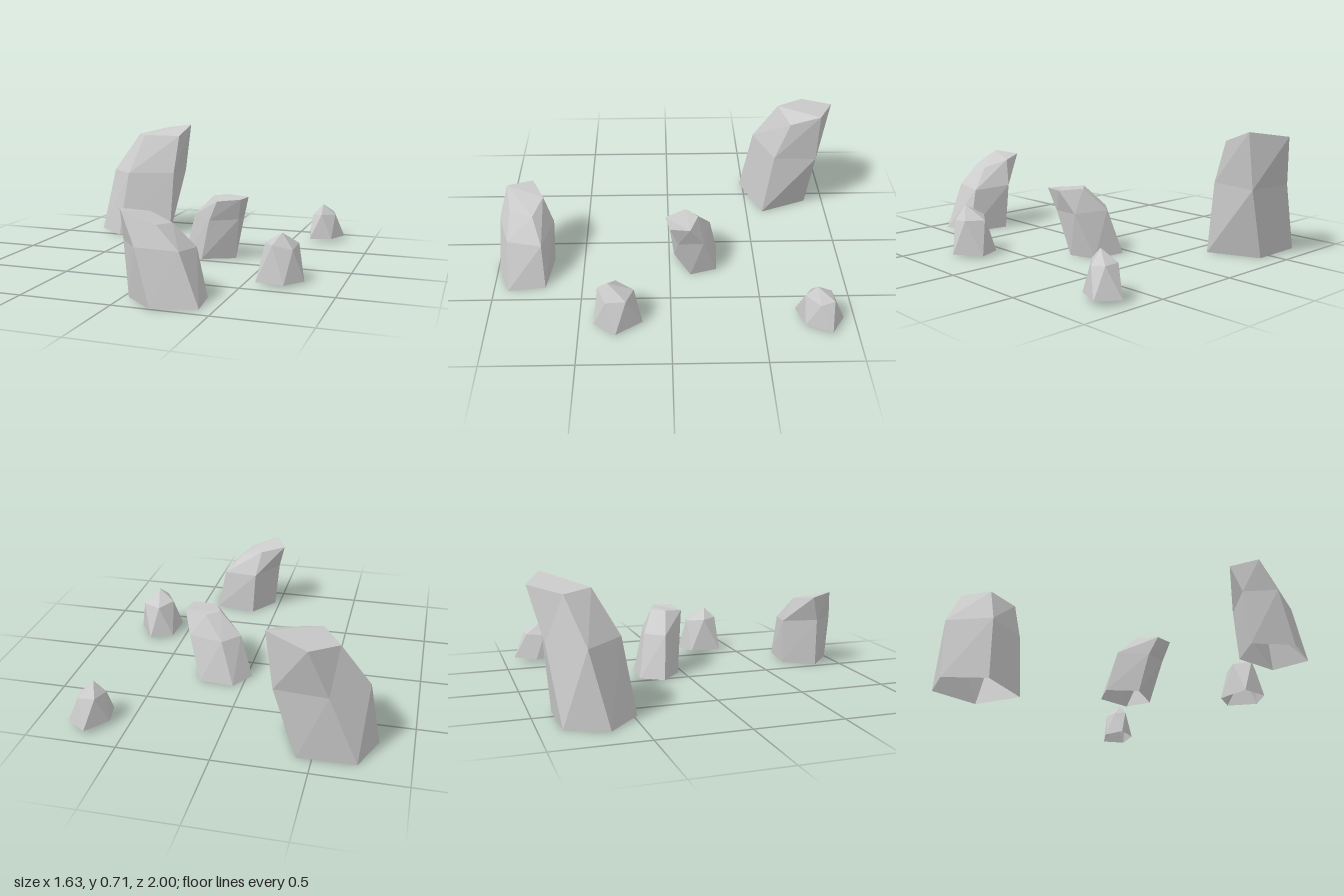
import * as THREE from 'three';

// Faceted hollow rock: stacked five-sided rings (bottom to top, counter-clockwise from above),
// open underneath and closed by a cap that fans out from the crown point.
function rockGeometry(rings, crown) {
  const pos = [];
  const tri = (a, b, c) => pos.push(...a, ...b, ...c);
  const top = rings[rings.length - 1];
  const n = top.length;
  for (let i = 0; i < n; i++) {
    const j = (i + 1) % n;
    for (let k = 0; k < rings.length - 1; k++) {
      const lo = rings[k], up = rings[k + 1];
      tri(lo[i], lo[j], up[j]);
      tri(lo[i], up[j], up[i]);
    }
    if (top[i] !== crown && top[j] !== crown) tri(top[i], top[j], crown);
  }
  const geo = new THREE.BufferGeometry();
  geo.setAttribute('position', new THREE.Float32BufferAttribute(pos, 3));
  geo.computeVertexNormals();
  return geo;
}

export function createModel() {
  const group = new THREE.Group();
  group.name = 'rockGroup';
  const stone = new THREE.MeshStandardMaterial({ color: 0xcccccc, flatShading: true, side: THREE.DoubleSide });
  stone.name = 'light grey stone';

  const addRock = (name, rings, crown) => {
    const mesh = new THREE.Mesh(rockGeometry(rings, crown), stone);
    mesh.name = name;
    group.add(mesh);
  };

  // Tall boulder at the back, leaning backwards
  const tallTop = [[-0.615, 0.645, -0.84], [-0.51, 0.655, -0.68], [-0.285, 0.65, -0.73], [-0.26, 0.715, -0.9], [-0.48, 0.68, -1]];
  addRock('tallRock', [
    [[-0.82, 0, -0.66], [-0.62, 0, -0.48], [-0.305, 0, -0.6], [-0.42, 0, -0.885], [-0.73, 0, -0.88]],
    [[-0.765, 0.4, -0.755], [-0.575, 0.41, -0.545], [-0.295, 0.41, -0.65], [-0.3, 0.4, -0.905], [-0.58, 0.4, -0.93]],
    tallTop,
  ], tallTop[3]);

  // Front boulder, leaning towards -x
  const frontTop = [[0.03, 0.455, 0.93], [0.2, 0.39, 0.9], [0.235, 0.38, 0.77], [0.1, 0.42, 0.72], [-0.04, 0.44, 0.79]];
  addRock('frontRock', [
    [[0.2, 0, 0.995], [0.425, 0, 0.92], [0.4, 0, 0.71], [0.15, 0, 0.675], [0.03, 0, 0.845]],
    [[0.115, 0.29, 0.975], [0.32, 0.27, 0.912], [0.345, 0.255, 0.72], [0.13, 0.27, 0.665], [0, 0.29, 0.835]],
    frontTop,
  ], frontTop[0]);

  // Middle boulder, leaning towards +x
  const middleTop = [[0.17, 0.375, -0.09], [0.225, 0.36, 0.025], [0.36, 0.375, 0], [0.375, 0.375, -0.11], [0.24, 0.375, -0.16]];
  addRock('middleRock', [
    [[-0.03, 0, -0.155], [0.115, 0, -0.03], [0.3, 0, -0.12], [0.255, 0, -0.27], [0.055, 0, -0.285]],
    [[0.04, 0.25, -0.13], [0.17, 0.24, 0], [0.335, 0.25, -0.045], [0.33, 0.25, -0.19], [0.13, 0.25, -0.235]],
    middleTop,
  ], middleTop[3]);

  // Two small pebbles with pointed tops
  addRock('frontPebble', [
    [[0.56, 0.012, 0.4], [0.715, 0.012, 0.42], [0.8, 0.012, 0.3], [0.7, 0.012, 0.155], [0.57, 0.012, 0.21]],
    [[0.585, 0.21, 0.3], [0.645, 0.215, 0.395], [0.745, 0.19, 0.35], [0.755, 0.205, 0.24], [0.65, 0.2, 0.2]],
  ], [0.685, 0.275, 0.335]);
  addRock('backPebble', [
    [[0.6, 0.025, -0.81], [0.625, 0.025, -0.68], [0.755, 0.025, -0.72], [0.815, 0.025, -0.86], [0.7, 0.025, -0.935]],
    [[0.655, 0.18, -0.86], [0.63, 0.17, -0.755], [0.69, 0.18, -0.715], [0.765, 0.17, -0.79], [0.745, 0.18, -0.865]],
  ], [0.69, 0.24, -0.775]);

  return group;
}
